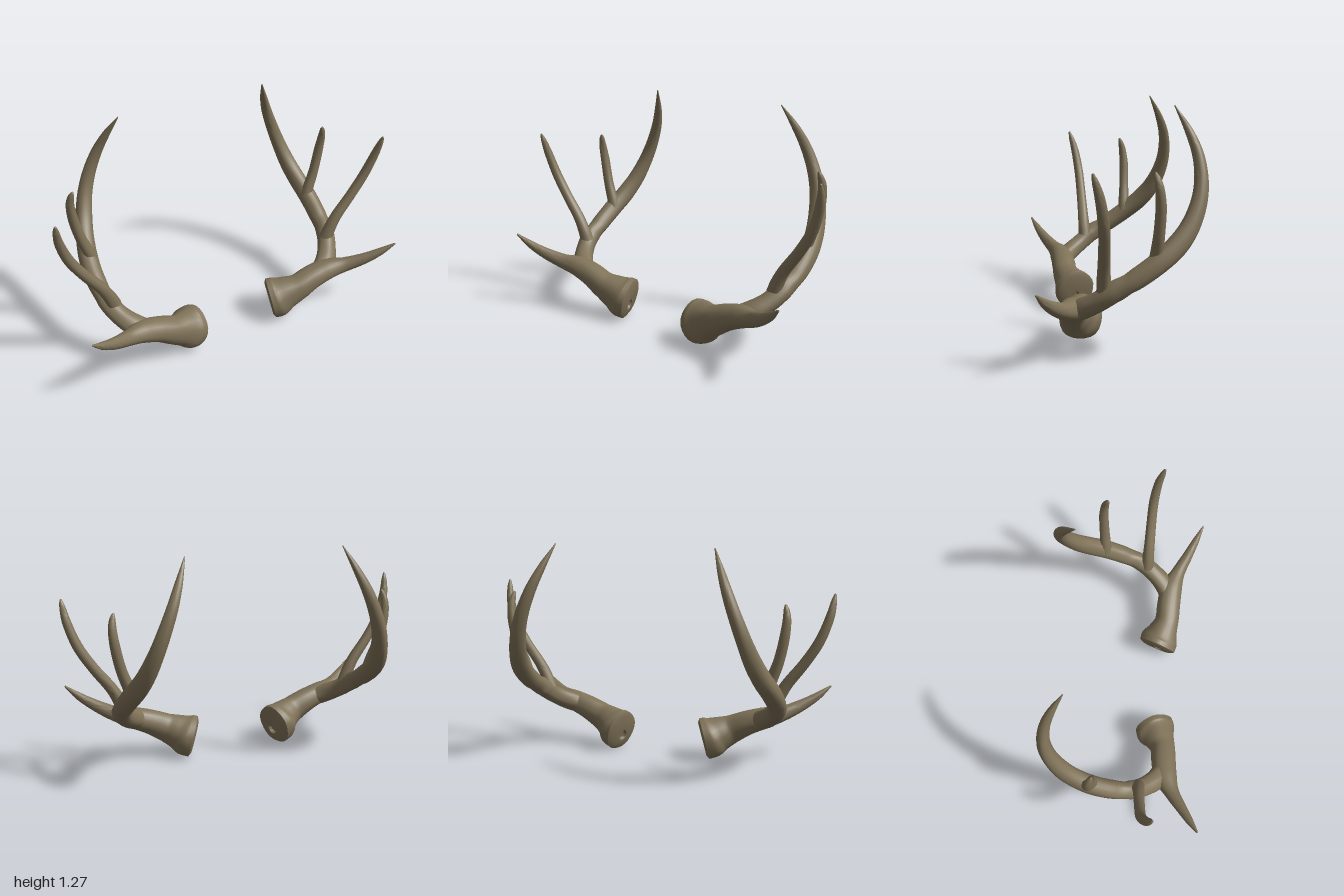
import * as THREE from 'three';
import { toCreasedNormals } from 'three/addons/utils/BufferGeometryUtils.js';

const V = (x, y, z) => new THREE.Vector3(x, y, z);

// Sweeps an oval section along stations [x, y, z, radius along ref, radius across].
// cap holds optional start rings [scale, outward offset, shift along ref, shift across].
function sweep(stations, ref, side, { rings = 40, sides = 20, ridge = 0.04, seed = 0, cap = [[0, 0, 0, 0]] } = {}) {
  const path = new THREE.CatmullRomCurve3(stations.map(s => V(s[0], s[1], s[2])));
  const size = new THREE.CatmullRomCurve3(stations.map(s => V(s[3], s[4] ?? s[3], 0)));
  const pos = [], index = [];
  let rows = 0;
  const addRing = (t, scale, out, su, sv) => {
    const c = path.getPoint(t), r = size.getPoint(t), tan = path.getTangent(t);
    const u = ref.clone().addScaledVector(tan, -ref.dot(tan)).normalize();
    const v = tan.clone().cross(u);
    c.addScaledVector(tan, -out).addScaledVector(u, su).addScaledVector(v, sv);
    for (let j = 0; j < sides; j++) {
      const a = j / sides * Math.PI * 2;
      // shallow grain that wanders along the length
      const g = 1 + ridge * (Math.sin(5 * a + 7 * t + seed) * 0.6 + Math.sin(3 * a - 11 * t + seed * 2) * 0.5);
      const p = c.clone()
        .addScaledVector(u, Math.cos(a) * r.x * scale * g)
        .addScaledVector(v, Math.sin(a) * r.y * scale * g);
      pos.push(p.x * side, p.y, p.z);
    }
    rows++;
  };
  cap.forEach(([k, out, su, sv]) => addRing(0, k, out, su, sv));
  for (let i = 0; i <= rings; i++) addRing(i / rings, 1, 0, 0, 0);
  addRing(1, 0, -0.004, 0, 0);
  for (let i = 0; i < rows - 1; i++) {
    for (let j = 0; j < sides; j++) {
      const a = i * sides + j, b = i * sides + (j + 1) % sides, c = a + sides, d = b + sides;
      if (side > 0) index.push(a, b, c, b, d, c);
      else index.push(a, c, b, b, c, d);
    }
  }
  const geo = new THREE.BufferGeometry();
  geo.setAttribute('position', new THREE.Float32BufferAttribute(pos, 3));
  geo.setIndex(index);
  return toCreasedNormals(geo, 0.65);
}

// Flared base running out into the front tine
const BASE = [
  [0.262, 0.132, 0.178, 0.122, 0.116], [0.298, 0.142, 0.192, 0.121, 0.118], [0.345, 0.165, 0.212, 0.102, 0.094],
  [0.41, 0.194, 0.234, 0.083, 0.074], [0.5, 0.238, 0.24, 0.071, 0.072], [0.6, 0.272, 0.252, 0.062, 0.068],
  [0.7, 0.298, 0.293, 0.044, 0.042], [0.8, 0.345, 0.35, 0.033, 0.03], [0.88, 0.396, 0.395, 0.022, 0.02],
  [0.945, 0.45, 0.432, 0.005],
];
// Long main beam that curls out, back and up
const BEAM = [
  [0.54, 0.25, 0.24, 0.05], [0.62, 0.285, 0.2, 0.06, 0.055], [0.682, 0.335, 0.125, 0.054, 0.052],
  [0.715, 0.39, 0.05, 0.053], [0.727, 0.45, -0.05, 0.053], [0.722, 0.53, -0.165, 0.053, 0.055],
  [0.7, 0.61, -0.26, 0.05, 0.056], [0.672, 0.7, -0.33, 0.047, 0.05], [0.635, 0.82, -0.382, 0.041, 0.042],
  [0.596, 0.93, -0.4, 0.036], [0.548, 1.05, -0.39, 0.03], [0.501, 1.16, -0.352, 0.021], [0.446, 1.283, -0.288, 0.003],
];
// Two upright tines
const OUTER = [
  [0.69, 0.38, 0.095, 0.04], [0.712, 0.44, 0.099, 0.036], [0.752, 0.515, 0.102, 0.032], [0.845, 0.64, 0.107, 0.029],
  [0.922, 0.765, 0.116, 0.028], [0.97, 0.9, 0.138, 0.024], [0.984, 0.98, 0.16, 0.016], [0.989, 1.018, 0.172, 0.006],
];
const INNER = [
  [0.705, 0.535, -0.158, 0.036], [0.718, 0.58, -0.16, 0.033], [0.758, 0.69, -0.166, 0.029], [0.789, 0.83, -0.17, 0.027],
  [0.797, 0.92, -0.161, 0.022], [0.79, 0.97, -0.148, 0.015], [0.784, 0.992, -0.141, 0.006],
];

export function createModel() {
  const model = new THREE.Group();
  model.name = 'antlers';
  const horn = new THREE.MeshStandardMaterial({ color: 0x7f7258 });
  horn.name = 'horn brown';

  // Slightly domed end with a shallow pit
  const baseCap = [[0, -0.006, -0.03, 0.01], [0.2, -0.006, -0.03, 0.01], [0.26, 0.012, -0.03, 0.01], [0.8, 0.012, 0, 0]];

  for (const side of [1, -1]) {
    const antler = new THREE.Group();
    antler.name = side > 0 ? 'leftAntler' : 'rightAntler';
    const add = (name, geo) => {
      const mesh = new THREE.Mesh(geo, horn);
      mesh.name = name;
      antler.add(mesh);
    };
    add('baseAndFrontTine', sweep(BASE, V(0, 1, 0), side, { rings: 48, sides: 24, ridge: 0.025, seed: 1, cap: baseCap }));
    add('mainBeam', sweep(BEAM, V(1, 0, 0), side, { rings: 64, seed: 2 }));
    add('outerTine', sweep(OUTER, V(0, 0, 1), side, { sides: 16, seed: 3 }));
    add('innerTine', sweep(INNER, V(0, 0, 1), side, { sides: 16, seed: 4 }));
    model.add(antler);
  }
  return model;
}
